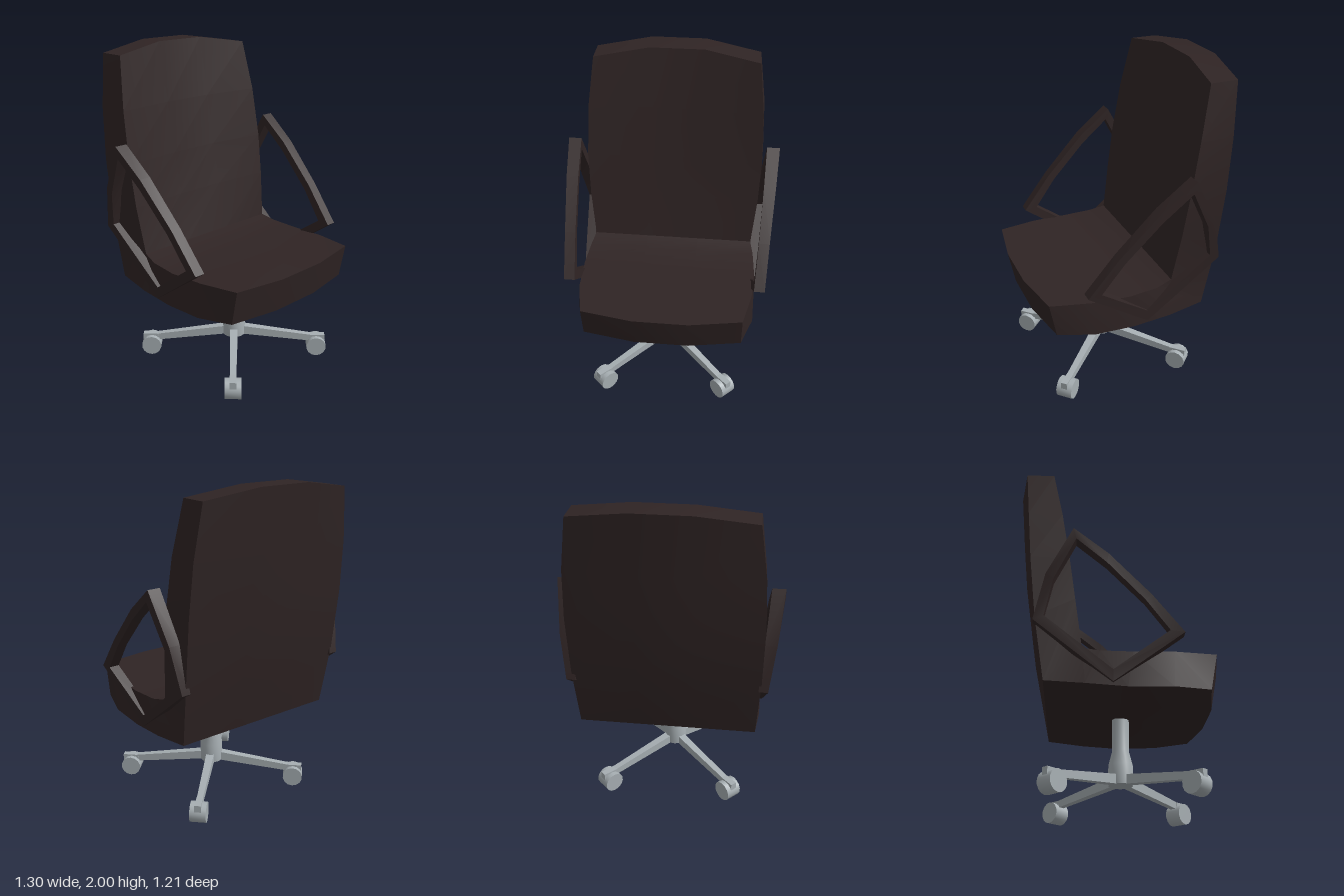
import * as THREE from 'three';
import { toCreasedNormals } from 'three/addons/utils/BufferGeometryUtils.js';

const upholstery = new THREE.MeshStandardMaterial({ color: 0x2f2424 });
upholstery.name = 'dark brown leather';
const metal = new THREE.MeshStandardMaterial({ color: 0xa6aeb2 });
metal.name = 'grey metal';

// Skin a list of equal-sized rings; either joined end to end or capped
function loft(rings, closed, crease) {
  const n = rings[0].length, pos = [];
  const tri = (a, b, c) => pos.push(...a, ...b, ...c);
  const quad = (a, b, c, d) => { tri(a, b, c); tri(a, c, d); };
  const last = closed ? rings.length : rings.length - 1;
  for (let i = 0; i < last; i++) {
    const r = rings[i], s = rings[(i + 1) % rings.length];
    for (let j = 0; j < n; j++) quad(r[j], r[(j + 1) % n], s[(j + 1) % n], s[j]);
  }
  if (!closed) {
    const r = rings[0], s = rings[rings.length - 1];
    for (let j = 0; j < n / 2 - 1; j++) {
      quad(r[j], r[n - 1 - j], r[n - 2 - j], r[j + 1]);
      quad(s[j], s[j + 1], s[n - 2 - j], s[n - 1 - j]);
    }
  }
  // Turn all faces outward if the enclosed volume comes out negative
  let volume = 0;
  const [a, b, c] = [0, 1, 2].map(() => new THREE.Vector3());
  for (let i = 0; i < pos.length; i += 9) {
    a.fromArray(pos, i); b.fromArray(pos, i + 3); c.fromArray(pos, i + 6);
    volume += a.dot(b.cross(c));
  }
  if (volume < 0) {
    for (let i = 0; i < pos.length; i += 9) {
      for (let k = 3; k < 6; k++) [pos[i + k], pos[i + k + 3]] = [pos[i + k + 3], pos[i + k]];
    }
  }
  const g = new THREE.BufferGeometry();
  g.setAttribute('position', new THREE.Float32BufferAttribute(pos, 3));
  return toCreasedNormals(g, crease);
}

function add(parent, name, geometry, material) {
  const mesh = new THREE.Mesh(geometry, material);
  mesh.name = name;
  parent.add(mesh);
  return mesh;
}

// Seat and backrest: one padded shell swept from the front edge to the top
function shellGeometry() {
  // inner z, y, half width; outer z, y, half width; centre bulge in z, y
  const stations = [
    [0.55, 0.77, 0.478, 0.51, 0.56, 0.478, 0.05, -0.005],
    [0.31, 0.76, 0.528, 0.30, 0.548, 0.545, 0, 0],
    [0.08, 0.75, 0.54, 0.05, 0.54, 0.552, 0, 0],
    [-0.10, 0.757, 0.53, -0.18, 0.555, 0.552, 0, 0],
    [-0.20, 0.78, 0.512, -0.405, 0.575, 0.53, 0, 0],
    [-0.243, 1.07, 0.538, -0.465, 0.95, 0.55, -0.025, 0],
    [-0.28, 1.33, 0.547, -0.505, 1.33, 0.555, -0.04, 0],
    [-0.33, 1.64, 0.535, -0.53, 1.64, 0.54, -0.045, 0],
    [-0.39, 1.95, 0.497, -0.555, 1.95, 0.497, -0.05, 0.05],
  ];
  const rings = stations.map(([zi, yi, wi, zo, yo, wo, bz, by]) => {
    const row = (z, y, w) => [
      [-w, y, z], [-0.165, y + by, z + bz], [0.165, y + by, z + bz], [w, y, z],
    ];
    return [...row(zi, yi, wi), ...row(zo, yo, wo).reverse()];
  });
  return loft(rings, false, 0.6);
}

// Armrest: a closed angular loop that leans outward toward the top
function armGeometry(side) {
  // outer z, y; inner z, y; inside x, outside x
  const points = [
    [-0.26, 1.465, -0.243, 1.395, 0.572, 0.65],
    [-0.06, 1.31, -0.068, 1.25, 0.565, 0.637],
    [0.18, 1.065, 0.145, 1.03, 0.553, 0.617],
    [0.36, 0.842, 0.28, 0.852, 0.54, 0.604],
    [-0.03, 0.562, -0.03, 0.632, 0.50, 0.562],
    [-0.473, 0.91, -0.413, 0.935, 0.53, 0.585],
    [-0.41, 1.18, -0.365, 1.15, 0.55, 0.62],
  ];
  const rings = points.map(([zo, yo, zi, yi, xi, xo]) => [
    [side * xi, yo, zo], [side * xo, yo, zo], [side * xo, yi, zi], [side * xi, yi, zi],
  ]);
  return loft(rings, true, 0.5);
}

// Swivel column, four tapered legs and their casters
function buildBase() {
  const base = new THREE.Group();
  base.name = 'base';
  base.position.z = 0.04;
  const profile = [
    [0, 0.145], [0.072, 0.145], [0.072, 0.265], [0.05, 0.35], [0.05, 0.56], [0, 0.56],
  ].map(([r, y]) => new THREE.Vector2(r, y));
  const column = toCreasedNormals(new THREE.LatheGeometry(profile, 16), 0.6);
  add(base, 'column', column, metal);

  const section = (x, low, high, w) => [[x, low, -w], [x, low, w], [x, high, w], [x, high, -w]];
  const legGeometry = loft([
    section(0.03, 0.148, 0.205, 0.026),
    section(0.53, 0.09, 0.132, 0.018),
  ], false, 0.3);
  const wheelGeometry = toCreasedNormals(
    new THREE.CylinderGeometry(0.063, 0.063, 0.1, 14).rotateX(Math.PI / 2), 0.6);
  const hoodGeometry = new THREE.BoxGeometry(0.1, 0.08, 0.04);

  for (let i = 0; i < 4; i++) {
    const arm = new THREE.Group();
    arm.name = 'legWithCaster';
    arm.rotation.y = Math.PI / 4 + i * Math.PI / 2;
    add(arm, 'leg', legGeometry, metal);
    add(arm, 'casterWheel', wheelGeometry, metal).position.set(0.54, 0.065, 0);
    add(arm, 'casterHood', hoodGeometry, metal).position.set(0.545, 0.096, 0);
    base.add(arm);
  }
  return base;
}

export function createModel() {
  const chair = new THREE.Group();
  chair.name = 'officeChair';
  add(chair, 'seatAndBackrest', shellGeometry(), upholstery).position.x = 0.004;
  add(chair, 'leftArmrest', armGeometry(1), upholstery);
  add(chair, 'rightArmrest', armGeometry(-1), upholstery);
  const base = buildBase();
  base.position.x = 0.005;
  chair.add(base);
  return chair;
}
